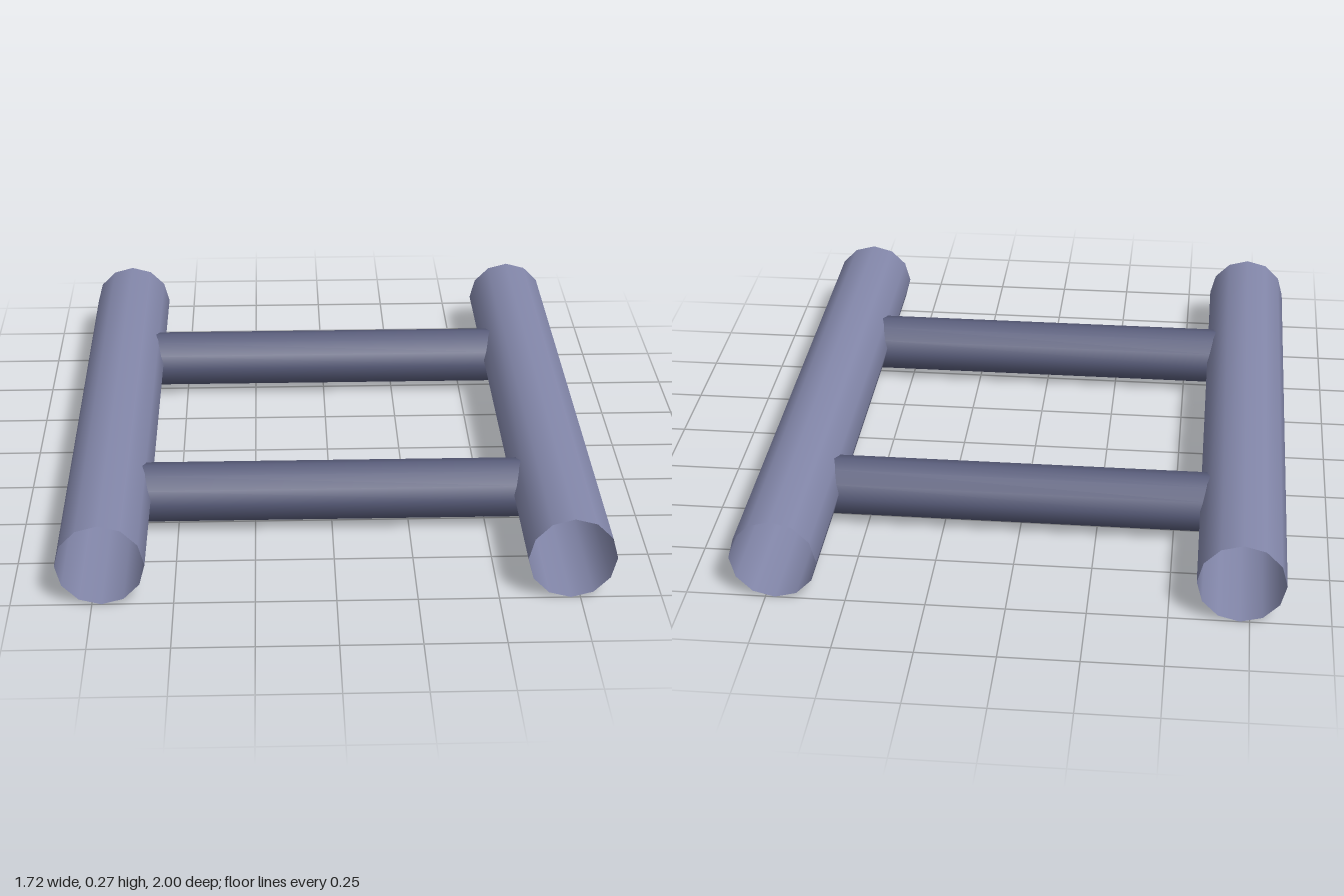
import * as THREE from 'three';

const SIDES = 12;

// Open-ended thin-walled tube lying along the x or z axis
function tube(name, radius, length, axis, color) {
  const geometry = new THREE.CylinderGeometry(radius, radius, length, SIDES, 1, true);
  if (axis === 'x') geometry.rotateZ(Math.PI / 2);
  else geometry.rotateX(Math.PI / 2);
  const material = new THREE.MeshStandardMaterial({ color, side: THREE.DoubleSide });
  const mesh = new THREE.Mesh(geometry, material);
  mesh.name = name;
  return mesh;
}

export function createModel() {
  const model = new THREE.Group();
  model.name = 'ladderFrame';

  // Two long side rails, resting on the ground
  for (const [name, side] of [['leftRail', 1], ['rightRail', -1]]) {
    const rail = tube(name, 0.137, 2, 'z', 0x8488ab);
    rail.position.set(side * 0.721, 0.137, 0);
    model.add(rail);
  }

  // Two thinner rungs whose ends sink into the rails
  for (const [name, end] of [['frontRung', 1], ['backRung', -1]]) {
    const rung = tube(name, 0.096, 1.256, 'x', 0x5a5e7c);
    rung.position.set(-0.002, 0.119, end * 0.508);
    model.add(rung);
  }

  return model;
}
